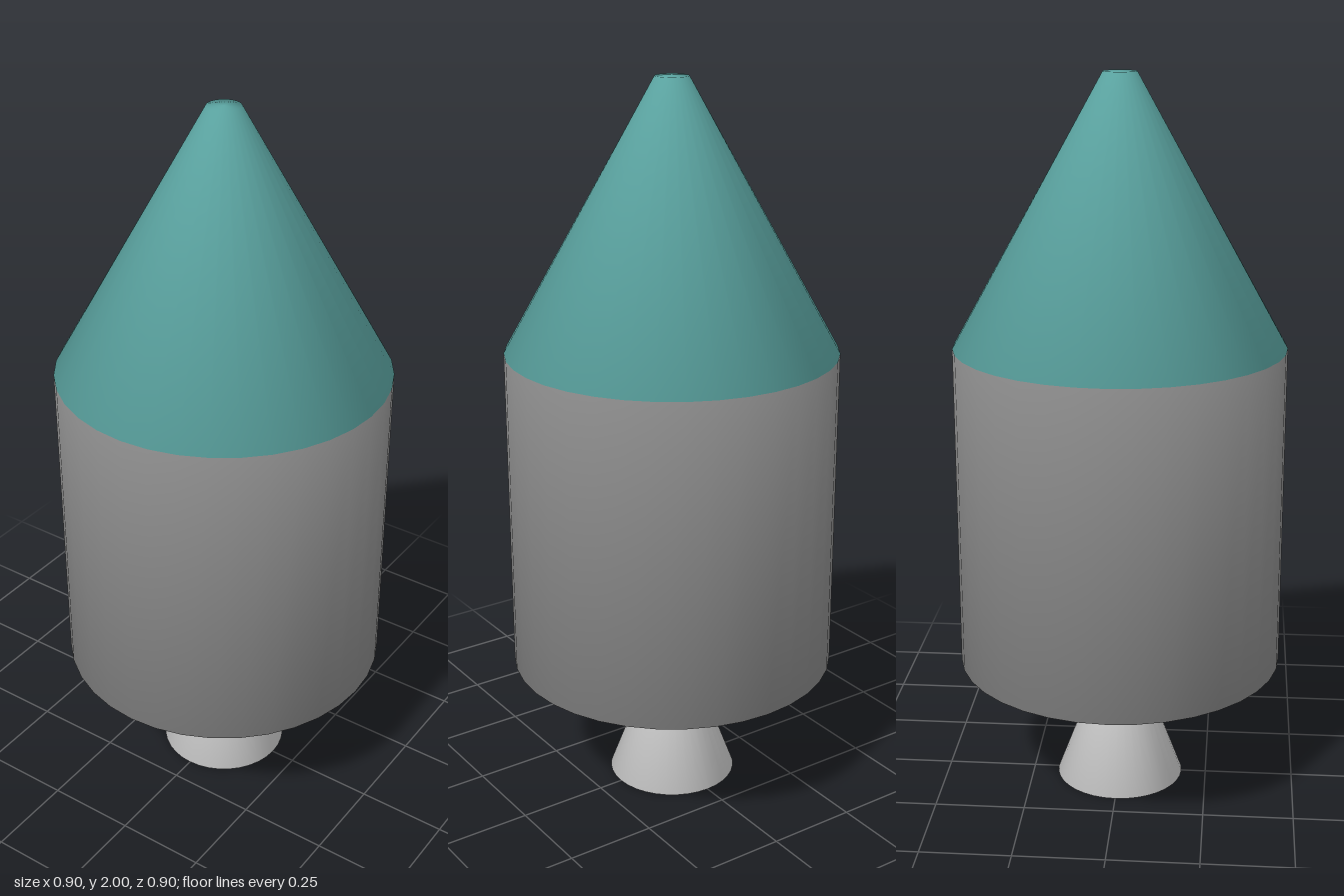
import * as THREE from 'three';
import { mergeVertices } from 'three/addons/utils/BufferGeometryUtils.js';

const SIDES = 36;

// Closed frustum whose normals blend smoothly over the rims
function frustum(name, rTop, rBottom, y0, y1, color) {
  let geo = new THREE.CylinderGeometry(rTop, rBottom, y1 - y0, SIDES);
  geo.deleteAttribute('normal');
  geo.deleteAttribute('uv');
  geo = mergeVertices(geo, 1e-4);
  geo.computeVertexNormals();
  const mesh = new THREE.Mesh(
    geo,
    new THREE.MeshStandardMaterial({ color, side: THREE.DoubleSide })
  );
  mesh.name = name;
  mesh.position.y = (y0 + y1) / 2;
  return mesh;
}

export function createModel() {
  const group = new THREE.Group();
  group.name = 'rocketCapsule';
  group.add(
    // Engine bell under the hull
    frustum('engineNozzle', 0.042, 0.18, 0, 0.37, 0xcccccc),
    // Straight hull
    frustum('body', 0.452, 0.452, 0.37, 1.275, 0x898989),
    // Blunt-tipped cone
    frustum('noseCone', 0.045, 0.452, 1.275, 2, 0x5ca6a3)
  );
  return group;
}
